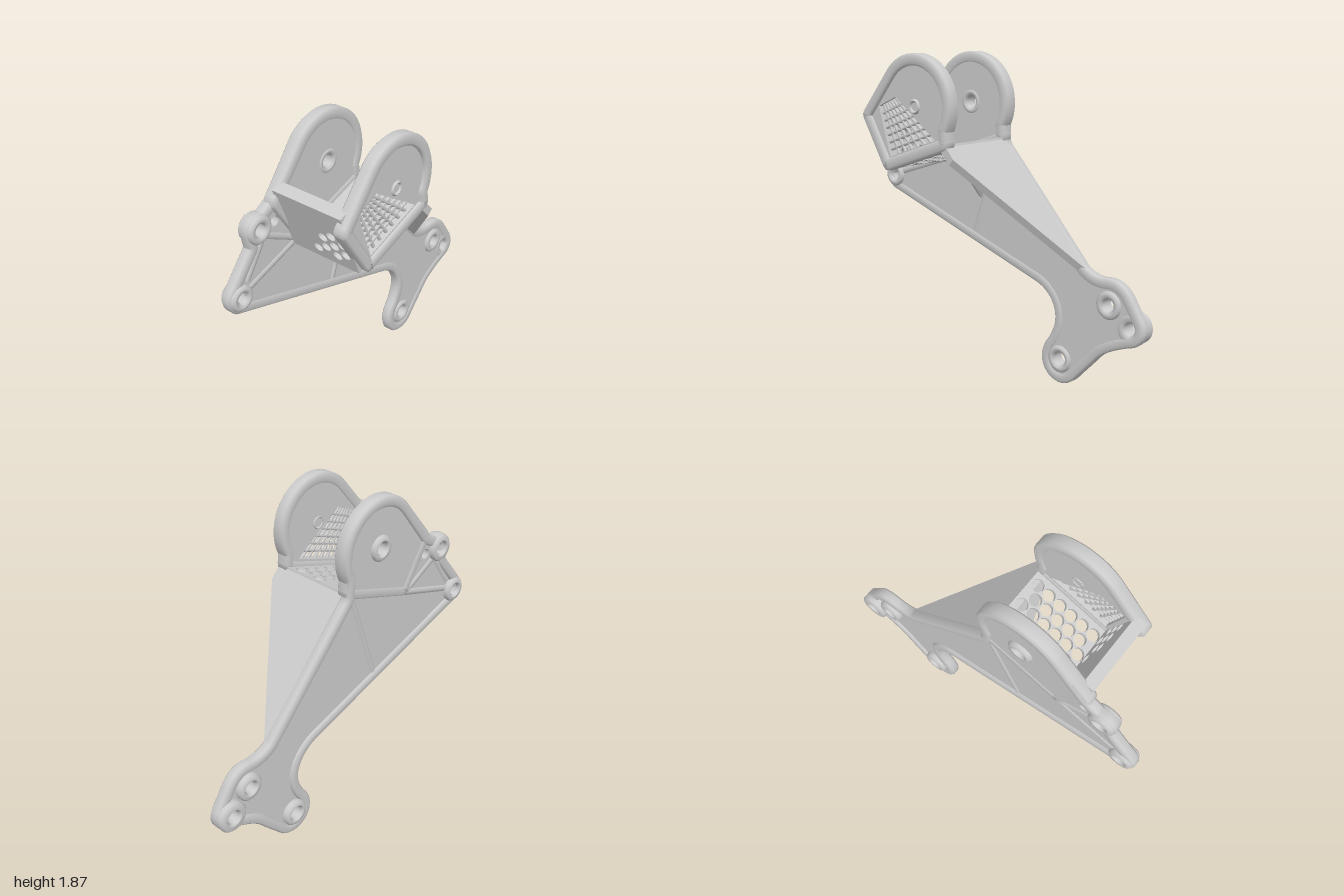
import * as THREE from 'three';

const material = new THREE.MeshStandardMaterial({ color: 0xcccccc, side: THREE.DoubleSide });
const V2 = (x, y) => new THREE.Vector2(x, y);

export function createModel() {
  const group = new THREE.Group();

  const add = (name, geometry) => {
    const mesh = new THREE.Mesh(geometry, material);
    mesh.name = name;
    group.add(mesh);
  };
  const punch = (shape, x, y, r) => {
    const hole = new THREE.Path();
    hole.absarc(x, y, r, 0, Math.PI * 2, true);
    shape.holes.push(hole);
  };
  // Hexagonal grid of small holes wherever inside(x, y) is true
  const perforate = (shape, step, r, x0, x1, y0, y1, inside) => {
    let row = 0;
    for (let y = y0; y <= y1; y += step * 0.866, row++)
      for (let x = x0 + (row % 2) * step / 2; x <= x1; x += step)
        if (inside(x, y)) punch(shape, x, y, r);
  };
  // Flat plate in the xy plane between two depths
  const plate = (name, shape, z0, z1) => {
    const g = new THREE.ExtrudeGeometry(shape, { depth: z1 - z0, bevelEnabled: false, curveSegments: 20 });
    add(name, g.translate(0, 0, z0));
  };
  // Raised rim: a softened rectangle of half width w and half depth d swept along a closed outline
  const rim = (name, shape, z, w, d) => {
    const pts = shape.getSpacedPoints(160).slice(0, -1).map(p => new THREE.Vector3(p.x, p.y, 0));
    const curve = new THREE.CatmullRomCurve3(pts, true, 'centripetal');
    const b = 0.013, n = 320, k = 8, positions = [], index = [];
    const section = [
      [w, b - d], [w, d - b], [w - b, d], [b - w, d],
      [-w, d - b], [-w, b - d], [b - w, -d], [w - b, -d]];
    for (let i = 0; i < n; i++) {
      const p = curve.getPoint(i / n), t = curve.getTangent(i / n);
      for (const [a, c] of section) positions.push(p.x + t.y * a, p.y - t.x * a, z + c);
      for (let j = 0; j < k; j++) {
        const p0 = i * k + j, p1 = i * k + (j + 1) % k;
        const q0 = ((i + 1) % n) * k + j, q1 = ((i + 1) % n) * k + (j + 1) % k;
        index.push(p0, q0, p1, q0, q1, p1);
      }
    }
    const g = new THREE.BufferGeometry();
    g.setAttribute('position', new THREE.Float32BufferAttribute(positions, 3));
    g.setIndex(index);
    g.computeVertexNormals();
    add(name, g);
  };
  // Sheet standing on the plate: drawn in (distance along line, z)
  const sheet = (name, shape, x, y, angle, thickness) => {
    const g = new THREE.ExtrudeGeometry(shape, { depth: thickness, bevelEnabled: false, curveSegments: 6 });
    add(name, g.rotateX(Math.PI / 2).rotateZ(angle).translate(x, y, 0));
  };
  // Hollow boss with softened edges
  const boss = (name, x, y, ro, ri, z0, z1) => {
    const b = 0.012;
    const profile = [
      V2(ri + b, z0), V2(ro - b, z0), V2(ro, z0 + b), V2(ro, z1 - b), V2(ro - b, z1),
      V2(ri + b, z1), V2(ri, z1 - b), V2(ri, z0 + b), V2(ri + b, z0)];
    add(name, new THREE.LatheGeometry(profile, 32).rotateX(Math.PI / 2).translate(x, y, 0));
  };
  const bar = (name, x0, y0, x1, y1, z, r) =>
    add(name, new THREE.TubeGeometry(new THREE.LineCurve3(
      new THREE.Vector3(x0, y0, z), new THREE.Vector3(x1, y1, z)), 1, r, 10));

  // Rear mounting plate outline
  const back = new THREE.Shape();
  back.moveTo(-0.945, 1.015);
  back.lineTo(0.25, 0.61);
  back.bezierCurveTo(0.39, 0.57, 0.47, 0.43, 0.41, 0.3);
  back.quadraticCurveTo(0.39, 0.25, 0.355, 0.21);
  back.absarc(0.44, 0.14, 0.105, 2.45, 5.5, false);
  back.lineTo(0.66, 0.22);
  back.quadraticCurveTo(0.72, 0.3, 0.93, 0.367);
  back.absarc(0.91, 0.43, 0.06, -1.2, 0.5, false);
  back.lineTo(0.88, 0.59);
  back.quadraticCurveTo(0.83, 0.66, 0.76, 0.655);
  back.quadraticCurveTo(0.66, 0.64, 0.58, 0.7);
  back.lineTo(-0.01, 1.35);
  back.lineTo(-0.016, 1.468);
  back.absarc(-0.24, 1.59, 0.255, -0.5, 2.4, false);
  back.lineTo(-0.64, 1.5);
  back.lineTo(-0.73, 1.455);
  back.absarc(-0.76, 1.41, 0.055, 1.1, 3.5, false);
  back.lineTo(-0.8, 1.31);
  back.lineTo(-0.96, 1.12);
  back.absarc(-0.925, 1.075, 0.055, 2.4, 4.4, false);
  const rearOutline = back.clone();

  // name, x, y, outer radius, hole radius, rear z, front z
  const bosses = [
    ['upperLeftBoss', -0.76, 1.41, 0.08, 0.036, -0.28, -0.18],
    ['lowerLeftBoss', -0.925, 1.075, 0.075, 0.034, -0.28, -0.18],
    ['innerRightBoss', 0.77, 0.54, 0.08, 0.036, -0.285, -0.185],
    ['outerRightBoss', 0.91, 0.43, 0.09, 0.038, -0.3, -0.2],
    ['footBoss', 0.44, 0.15, 0.08, 0.04, -0.285, -0.19],
    ['rearPivotBoss', -0.24, 1.585, 0.075, 0.036, -0.275, -0.18]];
  for (const [name, x, y, ro, ri, z0, z1] of bosses) {
    punch(back, x, y, ri + 0.01);
    boss(name, x, y, ro, ri, z0, z1);
  }
  punch(back, -0.645, 1.405, 0.03);
  plate('rearPlate', back, -0.248, -0.203);
  rim('rearPlateRim', rearOutline, -0.23, 0.031, 0.034);

  // Round-topped cheek shared by both sides of the fork
  const cheek = () => {
    const s = new THREE.Shape();
    s.moveTo(-0.47, 1.235);
    s.lineTo(-0.01, 1.39);
    s.lineTo(-0.016, 1.468);
    s.absarc(-0.24, 1.59, 0.255, -0.5, 2.4, false);
    s.lineTo(-0.64, 1.515);
    s.closePath();
    return s;
  };
  const pad = cheek();
  punch(pad, -0.24, 1.585, 0.046);
  plate('rearCheek', pad, -0.252, -0.185);
  rim('rearCheekRim', cheek(), -0.217, 0.033, 0.04);

  // Front cheek with a window in its lower corner
  const front = cheek();
  const [a, b, c, d] = [V2(-0.54, 1.57), V2(-0.45, 1.285), V2(-0.08, 1.41), V2(-0.4, 1.63)];
  front.holes.push(new THREE.Path([a, d, c, b, a]));
  plate('frontCheek', front, 0.217, 0.27);
  rim('frontCheekRim', cheek(), 0.25, 0.033, 0.041);
  boss('frontPivotBoss', -0.24, 1.585, 0.045, 0.022, 0.212, 0.28);

  // Lattice filling the window
  for (let i = 1; i < 7; i++) {
    const t = i / 7;
    const [p, q] = [a.clone().lerp(d, t), b.clone().lerp(c, t)];
    const [r, s] = [a.clone().lerp(b, t), d.clone().lerp(c, t)];
    bar('windowLattice', p.x, p.y, q.x, q.y, 0.245, 0.01);
    bar('windowLattice', r.x, r.y, s.x, s.y, 0.245, 0.01);
  }

  // Side wall of the pocket, pierced towards its front lower corner
  const wall = new THREE.Shape([V2(-0.03, -0.2), V2(0.38, -0.2), V2(0.38, 0.25), V2(-0.03, 0.25)]);
  perforate(wall, 0.075, 0.03, 0.08, 0.33, 0.0, 0.2, (s, z) => z > 0.2 - 1.1 * (s - 0.05));
  sheet('pocketWall', wall, -0.575, 1.585, -1.24, 0.07);

  // Open lattice floor of the pocket
  const floor = new THREE.Shape([V2(0, -0.2), V2(0.5, -0.2), V2(0.5, 0.25), V2(0, 0.25)]);
  perforate(floor, 0.08, 0.037, 0.05, 0.46, -0.13, 0.2, (s, z) => z > -0.15 + 0.28 * s);
  sheet('pocketFloor', floor, -0.47, 1.24, 0.314, 0.03);

  // Tapering web running down the long arm
  sheet('slopingWeb', new THREE.Shape([
    V2(-0.03, -0.21), V2(0.88, -0.21), V2(0.85, -0.19), V2(0.07, 0.28), V2(-0.03, 0.28)]),
  0.02, 1.37, -0.842, 0.045);

  // Slim gusset below the floor
  sheet('floorGusset', new THREE.Shape([V2(0, -0.21), V2(0.38, -0.21), V2(0, 0.2)]),
    -0.03, 1.36, -1.95, 0.025);

  // Raised ribs on the rear plate
  const ribs = [
    [-0.03, 1.34, -0.22, 0.8], [-0.9, 1.09, -0.47, 1.225],
    [-0.73, 1.36, -0.48, 1.22], [-0.74, 1.34, -0.87, 1.15]];
  for (const [x0, y0, x1, y1] of ribs) bar('plateRib', x0, y0, x1, y1, -0.226, 0.03);

  return group;
}
